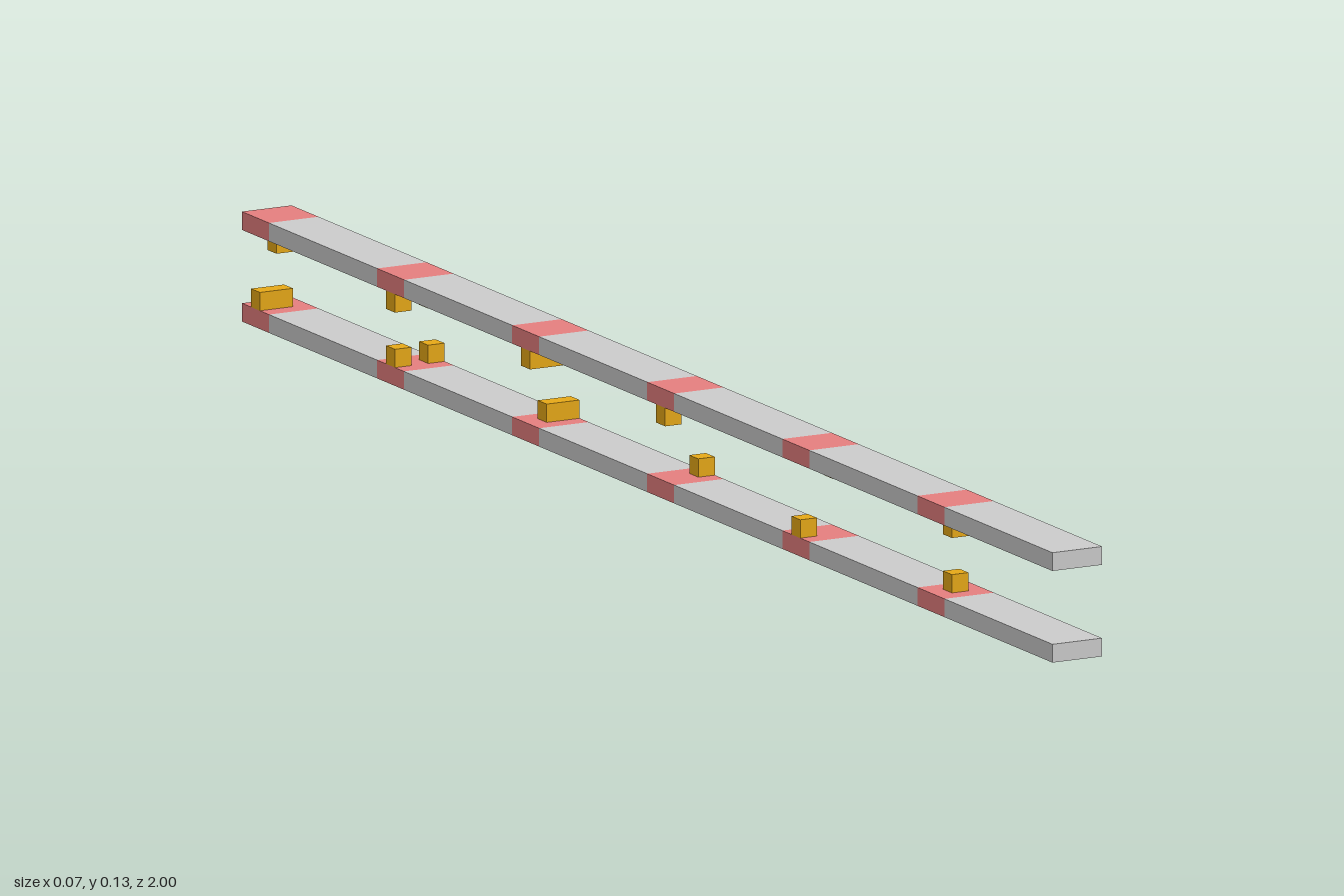
import * as THREE from 'three';

const U = 1 / 45;          // module size; a rail is 3 wide, 1 high, 90 long
const PITCH = 15 * U;      // one red marker plus one grey span
const HEIGHT = 6 * U;

// Pins at each marker, back to front: [centre in x, width] in modules
const PINS = [
  [[-0.5, 2]],
  [[-1, 1], [1, 1]],
  [[0.5, 2]],
  [[1, 1]],
  [[-1, 1]],
  [[0, 1]],
];

const grey = new THREE.MeshStandardMaterial({ color: 0xcccccc });
const red = new THREE.MeshStandardMaterial({ color: 0xe57f7f });
const gold = new THREE.MeshStandardMaterial({ color: 0xe6a817 });

function addBox(parent, name, material, size, position) {
  const mesh = new THREE.Mesh(new THREE.BoxGeometry(...size), material);
  mesh.name = name;
  mesh.position.set(...position);
  parent.add(mesh);
}

// Rail lying on y = 0 with its pins pointing up
function createRail(name) {
  const rail = new THREE.Group();
  rail.name = name;
  PINS.forEach((pins, i) => {
    const start = -1 + i * PITCH;
    const markerZ = start + 1.5 * U;
    addBox(rail, 'railMarker', red, [3 * U, U, 3 * U], [0, U / 2, markerZ]);
    addBox(rail, 'railSpan', grey, [3 * U, U, 12 * U], [0, U / 2, start + 9 * U]);
    for (const [x, width] of pins) {
      addBox(rail, 'pin', gold, [width * U, U, U], [x * U, 1.5 * U, markerZ]);
    }
  });
  return rail;
}

export function createModel() {
  const model = new THREE.Group();
  model.name = 'pinnedRails';
  model.add(createRail('lowerRail'));

  // The upper rail is the same part rolled over about its length
  const upper = createRail('upperRail');
  upper.rotation.z = Math.PI;
  upper.position.y = HEIGHT;
  model.add(upper);
  return model;
}
